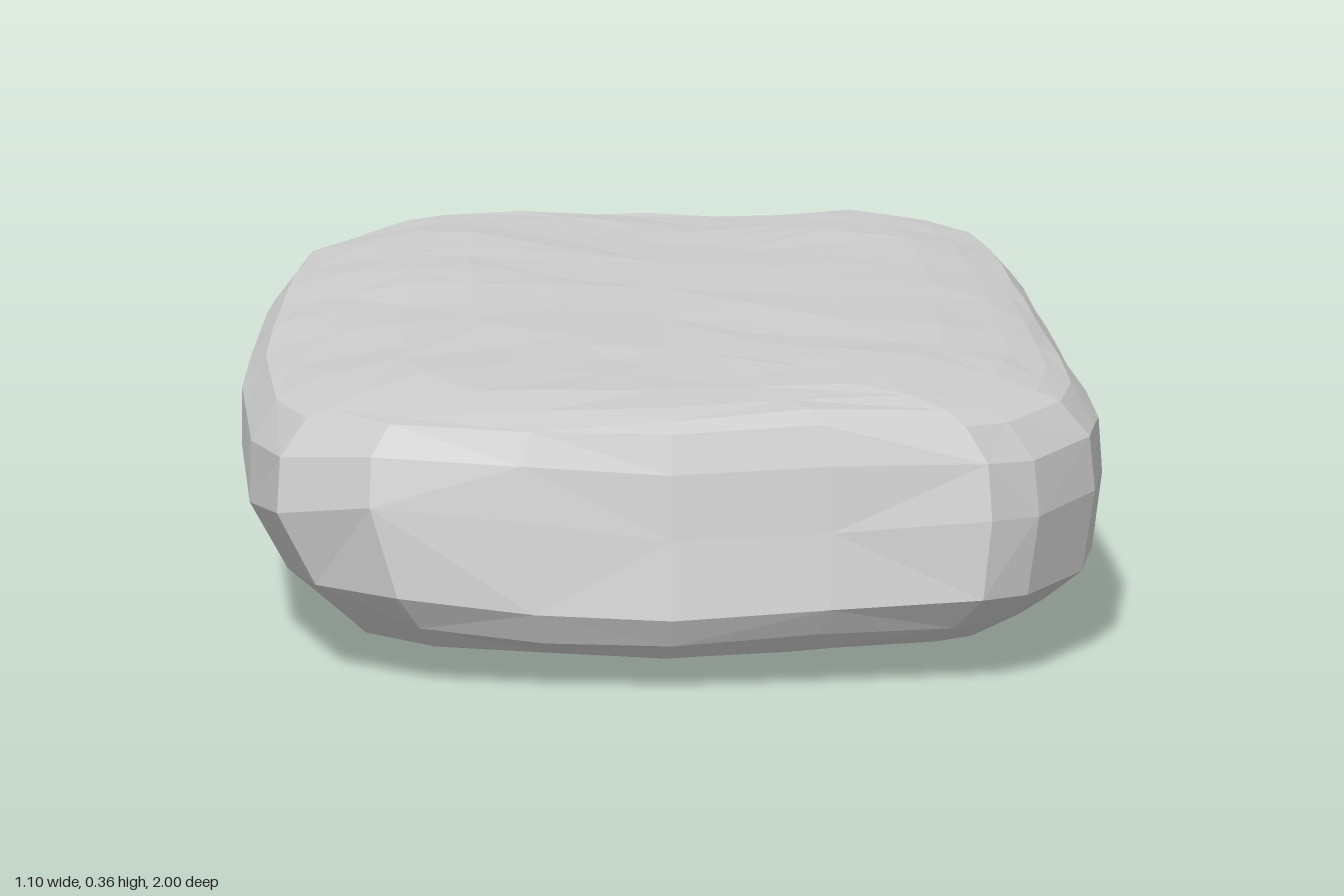
import * as THREE from 'three';

// Plan outline [x, z] at the widest height, clockwise seen from above
const OUTLINE = [
  [-0.28, -0.99], [0, -1], [0.4, -0.985], [0.49, -0.91], [0.53, -0.81], [0.545, -0.6],
  [0.55, -0.1], [0.55, 0.6], [0.52, 0.8], [0.44, 0.93], [0.38, 0.975], [0, 1],
  [-0.36, 0.98], [-0.475, 0.9], [-0.52, 0.72], [-0.555, 0.35], [-0.555, -0.35],
  [-0.545, -0.6], [-0.5, -0.78], [-0.46, -0.89], [-0.39, -0.95],
];

// Wall bands from the bottom up, with their insets from the outline
const WALL = [
  { y: 0.064, left: 0.085, right: 0.055, front: 0.016, back: 0.055, corner: 0.05, wave: 0.004 },
  { y: 0.1, left: 0.05, right: 0.012, front: 0, back: 0.03, corner: 0.025, wave: 0.006 },
  { y: 0.2, left: 0.003, right: 0, front: 0.022, back: 0, corner: 0, wave: 0.02 },
  { y: 0.268, left: 0.004, right: 0.004, front: 0.037, back: 0.002, corner: 0.012, wave: 0.01 },
  { y: 0.31, left: 0.035, right: 0.038, front: 0.052, back: 0.035, corner: 0.03, wave: 0.005 },
];

const ripple = (x, z) =>
  0.0035 * Math.sin(11 * x + 5 * z + 1) + 0.003 * Math.sin(17 * z - 9 * x) + 0.002 * Math.sin(31 * x + 23 * z);

const cornerWeight = (x, z) => (x / 0.5) ** 4 * z ** 6;

// Broad, gently uneven faces; e is 0 at the middle and 1 at the rim
const topHeight = (x, z, e) => {
  const hump = 0.019 * Math.exp(-(((x + 0.26) / 0.18) ** 2) - ((z + 0.3) / 0.55) ** 2);
  const ridge = 0.008 * Math.exp(-(((x - 0.3) / 0.15) ** 2));
  const backFall = 0.014 * Math.max(0, -z - 0.55);
  return 0.336 + hump + ridge - backFall - 0.025 * e ** 6 - 0.012 * cornerWeight(x, z) + ripple(x, z);
};
const bottomHeight = (x, z, e) =>
  0.01 + 0.034 * Math.abs(x / 0.5) ** 2.2 - 0.006 * Math.cos(3 * (z - 0.4))
  + 0.012 * e ** 6 + 0.028 * z ** 6 + ripple(z, x) * 0.7;

// Split long outline edges so the faces break into small facets
function subdivide(points, maxLength) {
  const result = [];
  points.forEach(([x, z], i) => {
    const [x2, z2] = points[(i + 1) % points.length];
    const n = Math.ceil(Math.hypot(x2 - x, z2 - z) / maxLength);
    for (let k = 0; k < n; k++) result.push([x + ((x2 - x) * k) / n, z + ((z2 - z) * k) / n]);
  });
  return result;
}

function createSlabGeometry() {
  const outline = subdivide(OUTLINE, 0.2);
  const n = outline.length;
  const rings = [];
  const inset = ([x, z], band) => {
    const chamfer = band.corner * Math.min(1, cornerWeight(x, z));
    const side = x > 0 ? band.right : band.left;
    const end = z > 0 ? band.front : band.back;
    return [x * (1 - side / 0.55 - chamfer), z * (1 - end - chamfer)];
  };
  // Rings shrink from the rim to a spine along the middle, with scattered points between
  const cap = (band, s, height) => outline.map((p, j) => {
    const [x, z] = inset(p, band);
    if (s === 0) {
      const spineZ = Math.round(z * 2) / 4;
      return [0, height(0, spineZ, 0), spineZ];
    }
    const scatter = 0.022 * Math.min(1, 4 * (1 - s));
    const px = x * s + scatter * Math.sin(j * 12.9 + s * 78);
    const pz = z * (0.5 + 0.5 * s) + scatter * Math.sin(j * 39.3 + s * 11);
    return [px, height(px, pz, s), pz];
  });

  const steps = [0, 0.25, 0.48, 0.7, 0.86, 0.95];
  steps.forEach((s) => rings.push(cap(WALL[0], s, bottomHeight)));
  WALL.forEach((band) => rings.push(outline.map((p) => {
    const [x, z] = inset(p, band);
    const lift = 0.018 * cornerWeight(x, z) * (band.y < 0.2 ? 1 : -1);
    return [x, band.y + lift + band.wave * Math.sin(7 * x + 4 * z) + ripple(x, z), z];
  })));
  [...steps].reverse().forEach((s) => rings.push(cap(WALL[4], s, topHeight)));

  const indices = [];
  for (let i = 0; i < rings.length - 1; i++) {
    for (let j = 0; j < n; j++) {
      const k = (j + 1) % n;
      const a = i * n + j, b = i * n + k, c = a + n, d = b + n;
      // Mixed diagonals give irregular chipped facets
      if ((i * 7 + j * 3) % 5 < 2) indices.push(a, c, b, b, c, d);
      else indices.push(a, d, b, a, c, d);
    }
  }
  const geometry = new THREE.BufferGeometry();
  geometry.setAttribute('position', new THREE.Float32BufferAttribute(rings.flat(2), 3));
  geometry.setIndex(indices);
  const flat = geometry.toNonIndexed();
  flat.computeVertexNormals();
  flat.computeBoundingBox();
  flat.translate(0, -flat.boundingBox.min.y, 0);
  return flat;
}

export function createModel() {
  const group = new THREE.Group();
  group.name = 'stoneSlab';
  const material = new THREE.MeshStandardMaterial({ color: 0xcccccc, flatShading: true });
  const slab = new THREE.Mesh(createSlabGeometry(), material);
  slab.name = 'slab';
  group.add(slab);
  return group;
}
